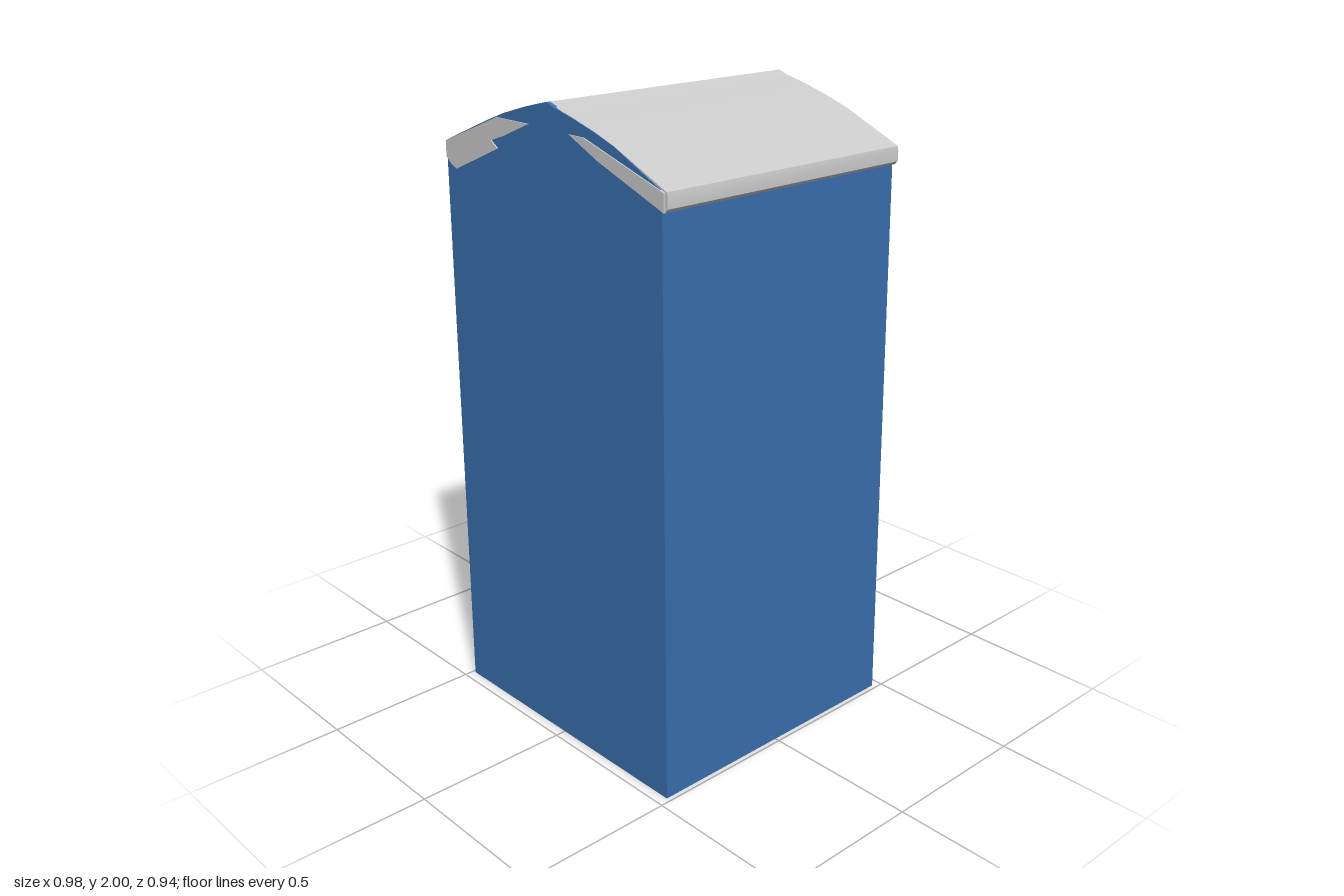
import * as THREE from 'three';
import { toCreasedNormals } from 'three/addons/utils/BufferGeometryUtils.js';

// Upper outline of the gently bowed roof, left to right
const ROOF = [
  [-0.49, 1.83], [-0.28, 1.915], [-0.2, 1.945], [-0.1, 1.975], [-0.03, 1.993], [0, 2],
  [0.035, 1.988], [0.1, 1.973], [0.2, 1.945], [0.28, 1.918], [0.485, 1.83],
];

export function createModel() {
  const group = new THREE.Group();
  group.name = 'gabledBooth';
  const grey = new THREE.MeshStandardMaterial({ color: 0xcccccc, side: THREE.DoubleSide });
  const blue = new THREE.MeshStandardMaterial({ color: 0x3a6fb0, side: THREE.DoubleSide });

  // The back and the +x wall lean in slightly towards the top
  const lean = (geo) => {
    const p = geo.attributes.position;
    for (let i = 0; i < p.count; i++) {
      const t = Math.min(p.getY(i) / 1.8, 1);
      if (p.getX(i) > 0.4) p.setX(i, p.getX(i) - 0.015 * t);
      if (p.getZ(i) < -0.4) p.setZ(i, p.getZ(i) + 0.022 * t);
    }
    return geo;
  };

  // Flat outline in xy, extruded from z0 to z1
  const slab = (name, points, z0, z1, material, leaning = true) => {
    const shape = new THREE.Shape(points.map(([x, y]) => new THREE.Vector2(x, y)));
    let geo = new THREE.ExtrudeGeometry(shape, { depth: z1 - z0, bevelEnabled: false });
    geo.translate(0, 0, z0);
    if (leaning) lean(geo);
    geo = toCreasedNormals(geo, 0.3);
    const mesh = new THREE.Mesh(geo, material);
    mesh.name = name;
    group.add(mesh);
  };

  const lowered = (d) => ROOF.map(([x, y]) => [x, y - d]);

  // Gable walls; the shell is open underneath
  slab('frontWall', [[-0.49, 0], [0.485, 0], [0.485, 1.78], ...ROOF.slice().reverse()],
    0.452, 0.466, blue);
  slab('frontWallLining', [[-0.475, 0.003], [0.465, 0.003], ...lowered(0.055).reverse()
    .map(([x, y]) => [x * 0.96, y])], 0.444, 0.452, grey);
  slab('backWall', [[-0.49, 0], [0.485, 0], ...lowered(0.04).reverse()], -0.471, -0.457, blue);

  // Panel on the back with a slanted lower edge
  slab('backPanel', [[-0.45, 0.48], [0.275, 0.39], [0.375, 0.42], [0.43, 0.4],
    ...lowered(0.045).reverse().map(([x, y]) => [x * (x > 0 ? 0.94 : 0.99), y])],
  -0.474, -0.471, grey);

  // Side walls
  for (const [name, x, w] of [['leftWall', 0.475, 0.02], ['rightWall', -0.4825, 0.015]]) {
    const geo = new THREE.BoxGeometry(w, 1.79, 0.93);
    geo.translate(x, 0.895, -0.003);
    const mesh = new THREE.Mesh(lean(geo), blue);
    mesh.name = name;
    group.add(mesh);
  }

  // Roof sheet with blunt, slightly rounded eaves
  slab('roof', [
    ...ROOF, [0.488, 1.815], [0.488, 1.785], [0.478, 1.775],
    ...lowered(0.055).slice(1, -1).reverse(),
    [-0.48, 1.775], [-0.49, 1.785],
  ], -0.452, 0.463, grey, false);

  // Exposed roof edge trims on the front gable
  slab('frontTrimRight', [[-0.49, 1.828], [-0.23, 1.93], [-0.08, 1.93], [-0.2, 1.88],
    [-0.26, 1.86], [-0.23, 1.84], [-0.44, 1.75], [-0.465, 1.76], [-0.49, 1.78]],
  0.463, 0.47, grey, false);
  slab('frontTrimLeft', [[0.1, 1.925], [0.16, 1.925], [0.48, 1.828], [0.48, 1.775],
    [0.44, 1.79], [0.22, 1.87]], 0.463, 0.47, grey, false);

  return group;
}
